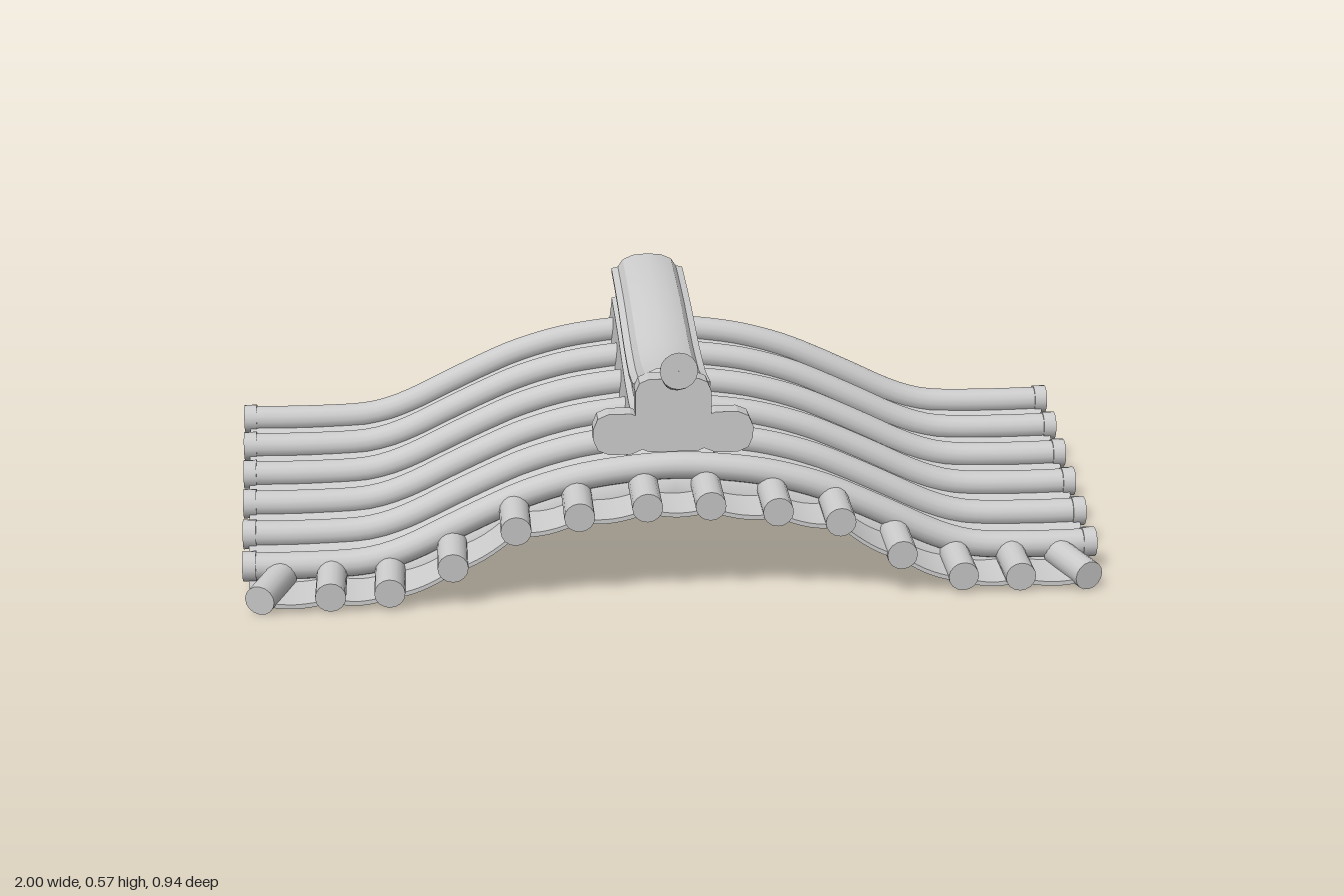
import * as THREE from 'three';
import { toCreasedNormals } from 'three/addons/utils/BufferGeometryUtils.js';

const mat = new THREE.MeshStandardMaterial({ color: 0xcccccc, side: THREE.DoubleSide });

// Roof sweep: [distance from the ridge, height of the front tile row]
const SWEEP = [[0, 0.277], [0.1, 0.271], [0.2, 0.257], [0.27, 0.24], [0.34, 0.217], [0.42, 0.182],
  [0.5, 0.144], [0.58, 0.105], [0.64, 0.082], [0.7, 0.069], [0.85, 0.064], [1.01, 0.066]];
const ROWS = [0.32, 0.18, 0.04, -0.1, -0.24, -0.38];

function lerpTable(table, x) {
  let i = 0;
  while (i < table.length - 2 && x > table[i + 1][0]) i++;
  const [x0, y0] = table[i], [x1, y1] = table[i + 1];
  return y0 + (y1 - y0) * (x - x0) / (x1 - x0);
}
const roofY = (x, z) => lerpTable(SWEEP, Math.abs(x)) + 0.178 * (0.32 - z);
const halfWidth = z => 0.968 + (0.32 - z) * 0.045;

function add(parent, name, geometry) {
  const mesh = new THREE.Mesh(geometry, mat);
  mesh.name = name;
  parent.add(mesh);
  return mesh;
}

// Surface through a grid of points given by fn(column, row)
function gridSurface(nu, nv, fn, crease = 0.7) {
  const pos = [], idx = [];
  for (let i = 0; i <= nu; i++) for (let j = 0; j <= nv; j++) pos.push(...fn(i, j));
  for (let i = 0; i < nu; i++) for (let j = 0; j < nv; j++) {
    const a = i * (nv + 1) + j, b = a + nv + 1;
    idx.push(a, a + 1, b, b, a + 1, b + 1);
  }
  const g = new THREE.BufferGeometry();
  g.setAttribute('position', new THREE.Float32BufferAttribute(pos, 3));
  g.setIndex(idx);
  return toCreasedNormals(g, crease);
}

// Thin slab: u across, v along depth; loops over the top and back underneath, closed at the ends
function slab(nu, nv, thickness, point) {
  const loop = 2 * nv + 2;
  return gridSurface(nu + 2, loop, (i, j) => {
    const u = THREE.MathUtils.clamp(i - 1, 0, nu) / nu;
    const k = j % loop;
    const under = k > nv;
    const [x, y, z] = point(u, (under ? loop - 1 - k : k) / nv);
    return [x, under && i > 0 && i < nu + 2 ? y - thickness : y, z];
  });
}

function extrude(points, depth) {
  const shape = new THREE.Shape(points.map(p => new THREE.Vector2(...p)));
  return new THREE.ExtrudeGeometry(shape, { depth, bevelEnabled: false });
}

function chamferedBox(x0, x1, y0, y1, c, depth) {
  return extrude([[x0 + c, y0], [x1 - c, y0], [x1 - c * 0.3, y0 + c * 0.3], [x1, y0 + c], [x1, y1 - c],
    [x1 - c * 0.3, y1 - c * 0.3], [x1 - c, y1], [x0 + c, y1], [x0 + c * 0.3, y1 - c * 0.3], [x0, y1 - c],
    [x0, y0 + c], [x0 + c * 0.3, y0 + c * 0.3]], depth);
}

function cylinderBetween(parent, name, a, b, r) {
  const dir = b.clone().sub(a);
  const m = add(parent, name, new THREE.CylinderGeometry(r, r, dir.length(), 16));
  m.position.copy(a).add(b).multiplyScalar(0.5);
  m.quaternion.setFromUnitVectors(new THREE.Vector3(0, 1, 0), dir.normalize());
}

export function createModel() {
  const root = new THREE.Group();
  root.name = 'curvedTiledRoof';

  // Sagging pan tiles on both slopes
  for (const side of [1, -1]) {
    const back = side > 0 ? -0.455 : -0.47;
    add(root, side > 0 ? 'leftPanTiles' : 'rightPanTiles', slab(28, 60, 0.014, (u, v) => {
      const z = 0.345 + (back - 0.345) * v;
      const x = side * u * (halfWidth(z) - 0.012);
      const sag = Math.abs(Math.sin(Math.PI * (0.32 - z) / 0.14));
      const drop = Math.max(0, z - 0.32) * 1.2;
      return [x, roofY(x, z) - 0.006 - 0.013 * sag - drop, z];
    }));
  }

  // Rounded cover tile rows with end discs
  const covers = new THREE.Group();
  covers.name = 'coverTiles';
  root.add(covers);
  for (const z of ROWS) {
    const w = halfWidth(z);
    const half = SWEEP.slice(0, -1).map(p => p[0]).concat(w);
    const xs = [...half.slice(1).reverse().map(x => -x), ...half];
    const path = new THREE.CatmullRomCurve3(xs.map(x => new THREE.Vector3(x, roofY(x, z), z)));
    add(covers, 'coverTileRow', new THREE.TubeGeometry(path, 70, 0.031, 14));
    for (const s of [1, -1]) {
      const y = roofY(w, z);
      cylinderBetween(covers, 'coverTileEnd', new THREE.Vector3(s * (w - 0.03), y, z),
        new THREE.Vector3(s * w, y, z), 0.034);
    }
  }

  // Front eave: short round tiles with sagging plates between them
  const eave = new THREE.Group();
  eave.name = 'frontEave';
  root.add(eave);
  const EAVE = [[0.07, 0.226], [0.22, 0.208], [0.36, 0.18], [0.5, 0.098], [0.64, 0.043], [0.77, 0.038], [0.925, 0.036]];
  for (const s of [1, -1]) {
    for (const [x, y] of EAVE) {
      const innerX = x > 0.9 ? x - 0.045 : x;
      cylinderBetween(eave, 'eaveTile', new THREE.Vector3(s * innerX, y + 0.011, 0.33),
        new THREE.Vector3(s * x, y, 0.46), 0.034);
    }
  }
  const spans = [...EAVE.slice().reverse().map(([x, y]) => [-x, y]), ...EAVE];
  for (let i = 0; i < spans.length - 1; i++) {
    const [xa, ya] = spans[i], [xb, yb] = spans[i + 1];
    add(eave, 'eavePlate', slab(8, 2, 0.01, (u, v) => [
      xa + (xb - xa) * u,
      ya + (yb - ya) * u - 0.006 - 0.01 * Math.sin(Math.PI * u) + 0.01 * v,
      0.452 - 0.115 * v]));
  }

  // Ridge: hollow moulded section carried along a curved top line
  const ridge = new THREE.Group();
  ridge.name = 'ridge';
  root.add(ridge);
  const TOP = [[-0.455, 0.57], [-0.34, 0.556], [-0.22, 0.538], [-0.1, 0.513], [0, 0.493],
    [0.07, 0.484], [0.14, 0.478], [0.2, 0.482], [0.26, 0.488]];
  const halfSection = [[0.1, -0.215], [0.088, -0.12], [0.088, -0.112], [0.074, -0.108], [0.074, -0.064],
    [0.088, -0.044], [0.088, -0.036], [0.072, -0.032], [0.06, -0.014], [0.035, -0.003], [0, 0]];
  const section = [...halfSection, ...halfSection.slice(0, -1).reverse().map(([x, y]) => [-x, y])];
  add(ridge, 'ridgeBody', gridSurface(TOP.length - 1, section.length - 1, (i, j) =>
    [section[j][0], TOP[i][1] + section[j][1], TOP[i][0]], 0.5));

  // Front end ornament: block, two side scrolls and an upswept horn
  add(ridge, 'ridgeEndBlock', chamferedBox(-0.085, 0.085, 0.305, 0.475, 0.03, 0.052)).position.z = 0.254;
  for (const s of [1, -1]) {
    add(ridge, 'ridgeEndScroll', chamferedBox(s > 0 ? 0.06 : -0.18, s > 0 ? 0.18 : -0.06, 0.3, 0.395, 0.035, 0.05))
      .position.z = 0.255;
  }
  const HORN = [[0.2, 0.462, 0.022], [0.26, 0.472, 0.024], [0.31, 0.48, 0.026], [0.36, 0.495, 0.03],
    [0.4, 0.512, 0.035], [0.44, 0.533, 0.042], [0.44, 0.533, 0.0005]];
  add(ridge, 'ridgeHorn', gridSurface(HORN.length - 1, 16, (i, j) => {
    const [z, y, r] = HORN[i], a = -2 * Math.PI * (j % 16) / 16;
    return [r * Math.cos(a), y + r * Math.sin(a), z];
  }));

  return root;
}
